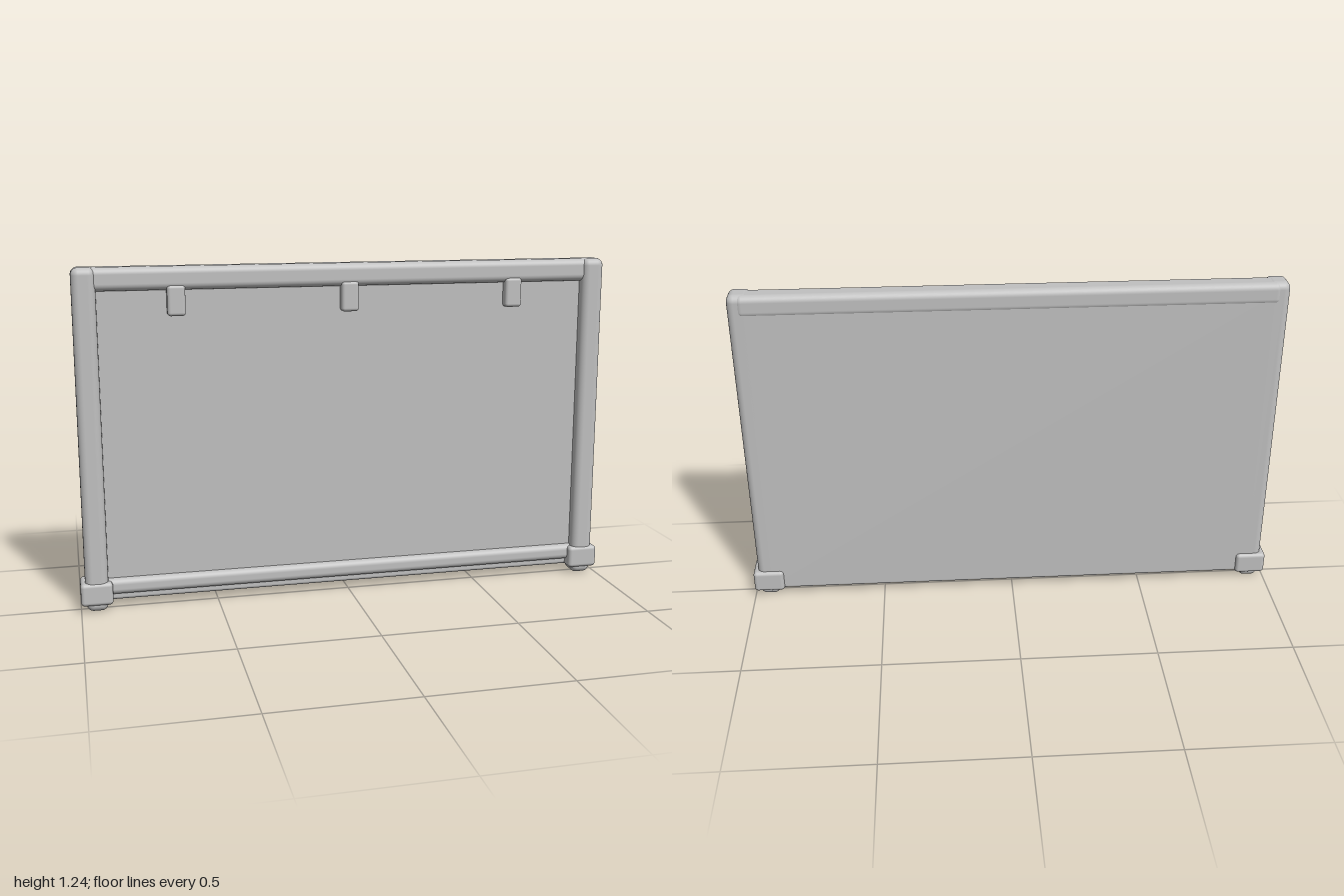
import * as THREE from 'three';
import { RoundedBoxGeometry } from 'three/addons/geometries/RoundedBoxGeometry.js';

export function createModel() {
  const model = new THREE.Group();
  model.name = 'framedBoard';

  const grey = new THREE.MeshStandardMaterial({ color: 0xc0c0c0 });
  grey.name = 'light grey';

  // Rounded block given by its min and max on each axis
  function block(name, [x0, x1], [y0, y1], [z0, z1], radius) {
    const geometry = new RoundedBoxGeometry(x1 - x0, y1 - y0, z1 - z0, 5, radius);
    const mesh = new THREE.Mesh(geometry, grey);
    mesh.position.set((x0 + x1) / 2, (y0 + y1) / 2, (z0 + z1) / 2);
    mesh.name = name;
    model.add(mesh);
    return mesh;
  }

  // Board, flush with the back of the posts
  block('panel', [-0.945, 0.945], [0.03, 1.215], [-0.045, 0.012], 0.012);

  // Top and bottom rails
  block('topRail', [-0.955, 0.955], [1.157, 1.24], [-0.048, 0.04], 0.025);
  block('bottomRail', [-0.93, 0.93], [0.055, 0.115], [-0.03, 0.035], 0.022);

  // Side posts with corner blocks and foot pads
  for (const [side, s] of [['left', 1], ['right', -1]]) {
    const span = (a, b) => (s > 0 ? [a, b] : [-b, -a]);
    block(side + 'Post', span(0.9, 0.983), [0.05, 1.241], [-0.045, 0.051], 0.026);
    block(side + 'CornerBlock', span(0.885, 1), [0.026, 0.11], [-0.057, 0.057], 0.014);
    block(side + 'FootPad', span(0.903, 0.98), [0, 0.06], [-0.043, 0.048], 0.025);
  }

  // Clips hanging below the top rail
  for (const x of [-0.625, 0, 0.625]) {
    block('clip', [x - 0.032, x + 0.032], [1.066, 1.175], [-0.01, 0.044], 0.012);
  }

  return model;
}
